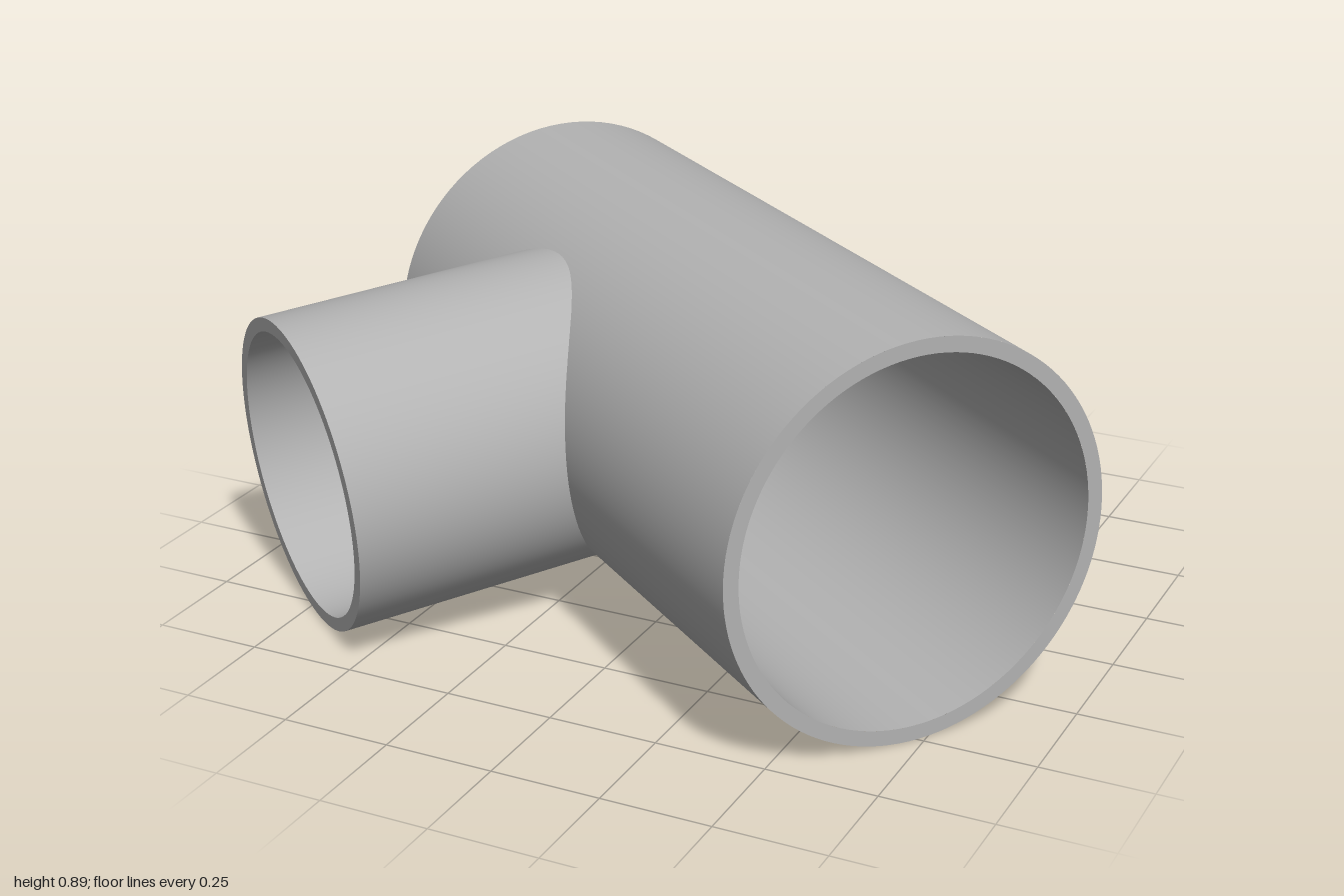
import * as THREE from 'three';
import { toCreasedNormals } from 'three/addons/utils/BufferGeometryUtils.js';

const LENGTH = 1.698, OUTER = 0.4475, INNER = 0.413;       // main pipe, along local x
const BRANCH_AT = -0.245, BRANCH_OUTER = 0.361, BRANCH_INNER = 0.329, BRANCH_LENGTH = 0.94;
const HOLE = (BRANCH_OUTER + BRANCH_INNER) / 2;            // cut hidden inside the branch wall

// Cylinder wall around x with a round hole cut toward +z; side is 1 facing out, -1 facing in
function wallWithHole(radius, side) {
  const rows = [];
  const edge = Math.asin(HOLE / radius);
  for (let i = 0; i <= 48; i++) {
    const t = -Math.PI / 2 + Math.PI * i / 48;
    rows.push([Math.asin(HOLE * Math.sin(t) / radius), HOLE * Math.cos(t)]);
  }
  for (let i = 1; i <= 72; i++) rows.push([edge + (2 * Math.PI - 2 * edge) * i / 72, 0]);

  const positions = [], normals = [], index = [];
  for (const [angle, gap] of rows) {
    const s = Math.sin(angle), c = Math.cos(angle);
    for (const u of [-LENGTH / 2, BRANCH_AT - gap, BRANCH_AT + gap, LENGTH / 2]) {
      positions.push(u, radius * s, radius * c);
      normals.push(0, side * s, side * c);
    }
  }
  for (let i = 0; i < rows.length - 1; i++) {
    for (const k of [0, 2]) {
      const a = i * 4 + k, b = a + 1, c = a + 5, d = a + 4;
      if (side > 0) index.push(a, b, c, a, c, d);
      else index.push(a, c, b, a, d, c);
    }
  }
  const geometry = new THREE.BufferGeometry();
  geometry.setAttribute('position', new THREE.Float32BufferAttribute(positions, 3));
  geometry.setAttribute('normal', new THREE.Float32BufferAttribute(normals, 3));
  geometry.setIndex(index);
  return geometry;
}

export function createModel() {
  const grey = new THREE.MeshStandardMaterial({ color: 0xb3b3b3 });
  grey.name = 'pipe grey';
  const model = new THREE.Group();
  model.name = 'pipeTee';

  const add = (parent, name, geometry) => {
    const mesh = new THREE.Mesh(geometry, grey);
    mesh.name = name;
    parent.add(mesh);
    return mesh;
  };

  // Both pipes share a frame: main along x, branch along z, tilted slightly down
  const tee = new THREE.Group();
  tee.name = 'tee';
  tee.rotation.set(THREE.MathUtils.degToRad(5), THREE.MathUtils.degToRad(-37), 0, 'YXZ');
  tee.position.set(0.05, OUTER, -0.003);
  model.add(tee);

  // Main pipe
  const main = new THREE.Group();
  main.name = 'mainPipe';
  tee.add(main);
  add(main, 'mainOuterWall', wallWithHole(OUTER, 1));
  add(main, 'mainInnerWall', wallWithHole(INNER, -1));
  for (const side of [-1, 1]) {
    const rim = add(main, 'mainRim', new THREE.RingGeometry(INNER, OUTER, 120));
    rim.rotation.y = side * Math.PI / 2;
    rim.position.x = side * LENGTH / 2;
  }

  // Branch pipe, starting on the main pipe's axis
  const ring = new THREE.Shape().absarc(0, 0, BRANCH_OUTER, 0, Math.PI * 2, false);
  ring.holes.push(new THREE.Path().absarc(0, 0, BRANCH_INNER, 0, Math.PI * 2, true));
  const tube = new THREE.ExtrudeGeometry(ring, { depth: BRANCH_LENGTH, bevelEnabled: false, curveSegments: 48 });
  add(tee, 'branchPipe', toCreasedNormals(tube, 0.6)).position.x = BRANCH_AT;

  return model;
}
